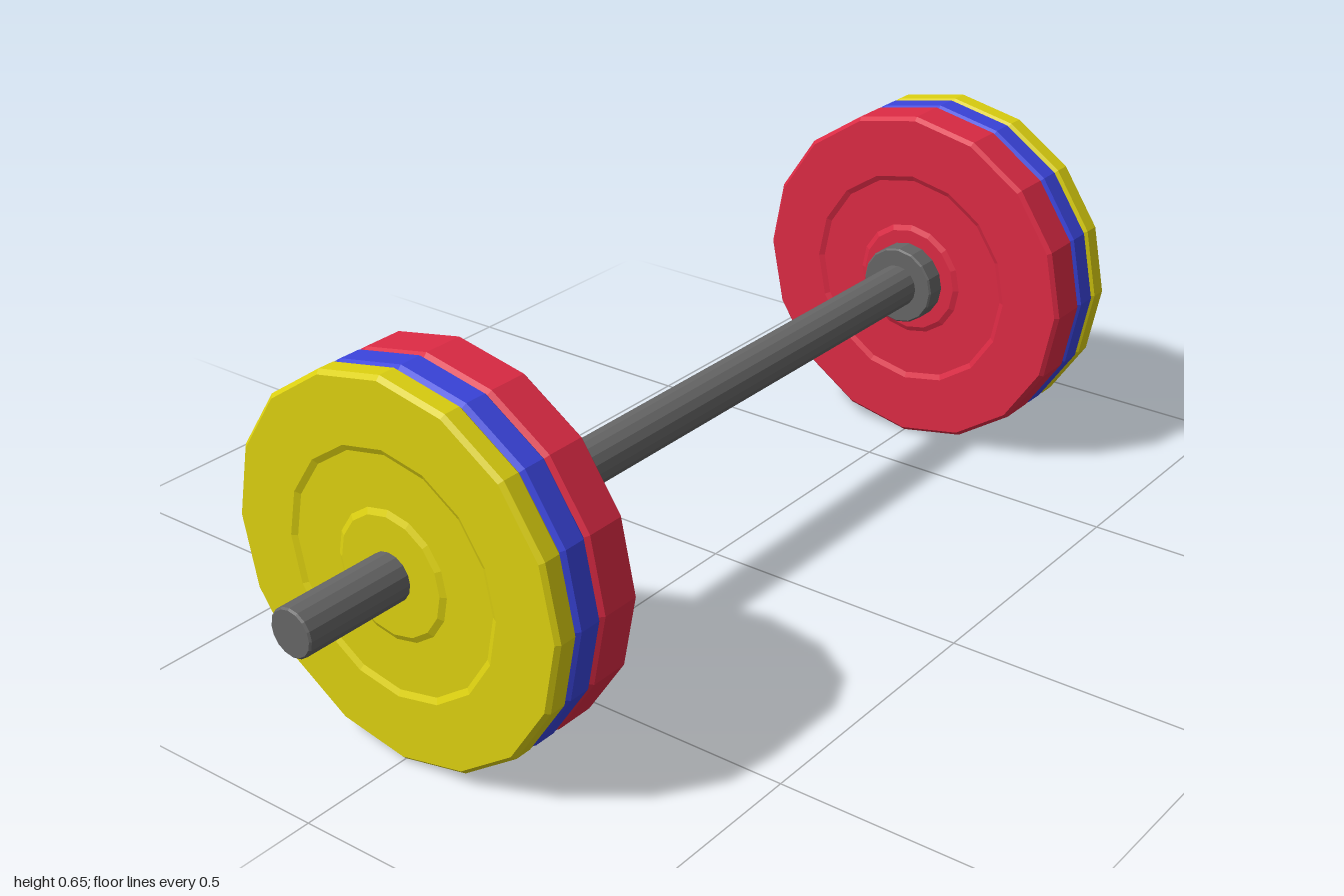
import * as THREE from 'three';

const AXIS_Y = 0.327, SIDES = 16;

const makeMaterial = (color) => new THREE.MeshStandardMaterial({ color, flatShading: true });

// Revolves a [radius, offset] profile around the bar's long axis
function turned(name, profile, material, x) {
  const points = profile.map(([r, t]) => new THREE.Vector2(r, t));
  const geometry = new THREE.LatheGeometry(points, SIDES);
  geometry.rotateZ(-Math.PI / 2);
  const mesh = new THREE.Mesh(geometry, material);
  mesh.name = name;
  mesh.position.set(x, AXIS_Y, 0);
  return mesh;
}

// Solid rod with slightly bevelled ends
function rodProfile(radius, length, bevel) {
  const h = length / 2;
  return [[0, -h], [radius - bevel, -h], [radius, -h + bevel],
    [radius, h - bevel], [radius - bevel, h], [0, h]];
}

// Bevelled disc with a shallow ring recessed around a raised hub on both faces
function plateProfile(thickness) {
  const h = thickness / 2, d = 0.005;
  const face = [[0.038, h], [0.1, h], [0.11, h - d], [0.2, h - d], [0.21, h], [0.32, h], [0.327, h - 0.007]];
  return [...face.map(([r, t]) => [r, -t]), ...face.reverse()];
}

export function createModel() {
  const model = new THREE.Group();
  model.name = 'barbell';
  const steel = makeMaterial(0x666666);

  model.add(turned('bar', rodProfile(0.041, 2, 0.003), steel, 0));

  // Plates from the inside out: name, colour, inner and outer x
  const plates = [
    ['redPlate', makeMaterial(0xdc2a44), 0.62, 0.703],
    ['bluePlate', makeMaterial(0x3a44dc), 0.703, 0.756],
    ['yellowPlate', makeMaterial(0xdcd010), 0.756, 0.8],
  ];

  for (const [side, s] of [['left', 1], ['right', -1]]) {
    const end = new THREE.Group();
    end.name = side + 'Weights';
    end.add(turned('collar', rodProfile(0.075, 0.042, 0.003), steel, s * 0.6));
    for (const [name, material, inner, outer] of plates) {
      end.add(turned(name, plateProfile(outer - inner), material, s * (inner + outer) / 2));
    }
    model.add(end);
  }
  return model;
}
